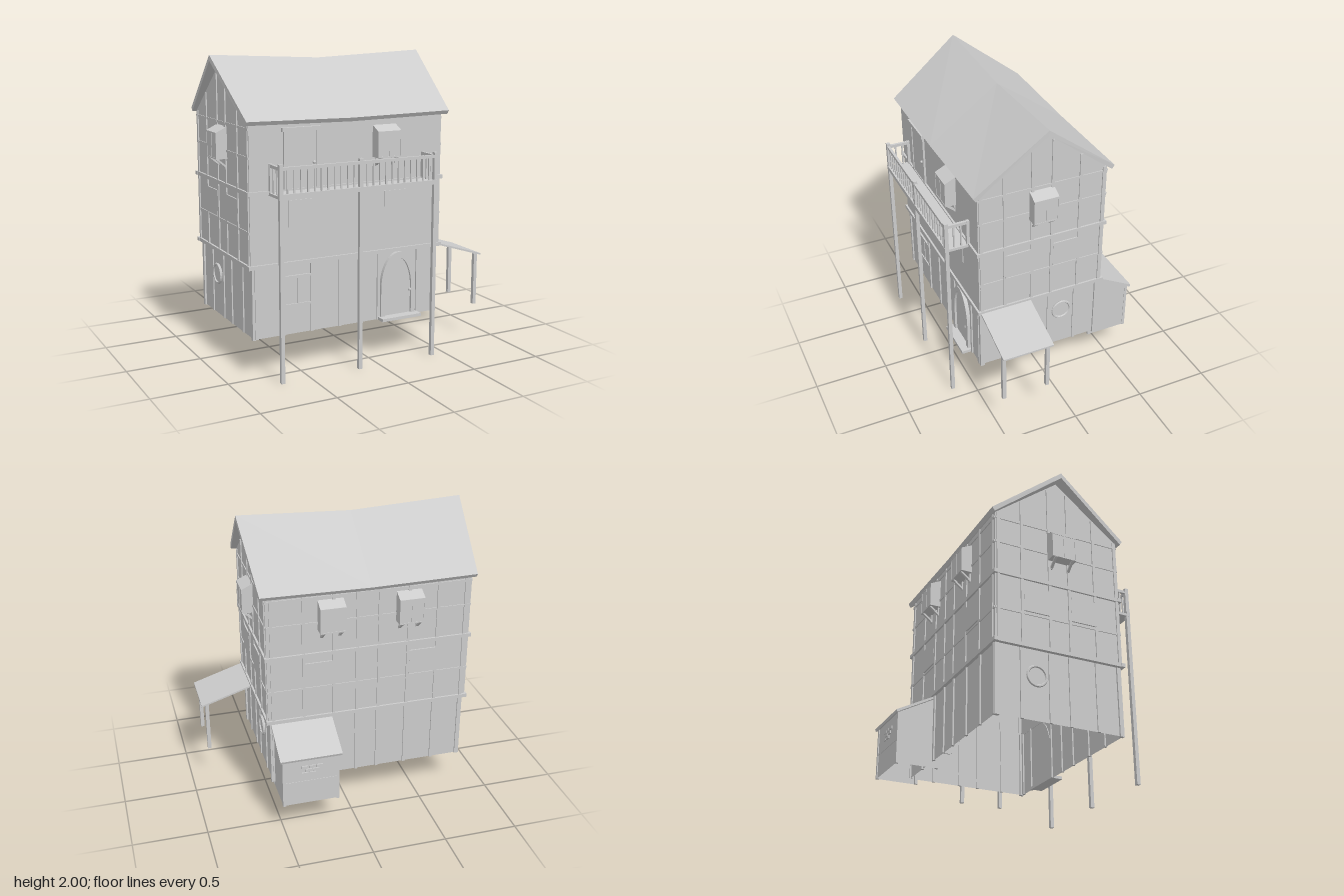
import * as THREE from 'three';

const mat = new THREE.MeshStandardMaterial({ color: 0xcccccc, flatShading: true });
const thin = new THREE.MeshStandardMaterial({ color: 0xcccccc, flatShading: true, side: THREE.DoubleSide });

// Main dimensions
const CX = -0.145, CZ = 0.045;
const UP = { x0: -0.833, x1: 0.543, z0: -0.4, z1: 0.49 };
const LOW = { x0: -0.81, x1: 0.52, z0: -0.39, z1: 0.48 };

export function createModel() {
  const model = new THREE.Group();
  const add = (name, geo, m = mat, parent = model) => {
    const mesh = new THREE.Mesh(geo, m);
    mesh.name = name;
    parent.add(mesh);
    return mesh;
  };
  // Box given by its limits on each axis
  const box = (name, x0, x1, y0, y1, z0, z1, parent = model) => {
    const mesh = add(name, new THREE.BoxGeometry(x1 - x0, y1 - y0, z1 - z0), mat, parent);
    mesh.position.set((x0 + x1) / 2, (y0 + y1) / 2, (z0 + z1) / 2);
    return mesh;
  };
  // Flat wall from an outline of [u, y] points; side walls use u = -z
  const wall = (name, pts, x, z, turn) => {
    const mesh = add(name, new THREE.ShapeGeometry(new THREE.Shape(pts.map(p => new THREE.Vector2(...p)))), thin);
    mesh.position.set(x, 0, z);
    mesh.rotation.y = turn ? Math.PI / 2 : 0;
  };
  // Solid skin joining equal cross-section loops, with capped ends
  const loft = (name, loops, capTris) => {
    const n = loops[0].length, idx = [];
    for (let s = 0; s < loops.length - 1; s++) for (let i = 0; i < n; i++) {
      const a = s * n + i, b = s * n + (i + 1) % n;
      idx.push(a, b, b + n, a, b + n, a + n);
    }
    const end = (loops.length - 1) * n;
    for (const [a, b, c] of capTris) idx.push(a, c, b, end + a, end + b, end + c);
    const g = new THREE.BufferGeometry();
    g.setAttribute('position', new THREE.Float32BufferAttribute(loops.flat(2), 3));
    g.setIndex(idx);
    g.computeVertexNormals();
    return add(name, g, thin);
  };

  // Hollow walls, open underneath
  const rect = (a, b, y0, y1) => [[a, y0], [b, y0], [b, y1], [a, y1]];
  for (const [n, z] of [['frontLowerWall', LOW.z1], ['backLowerWall', LOW.z0]])
    wall(n, rect(LOW.x0, LOW.x1, 0.25, 0.72), 0, z, false);
  for (const [n, z] of [['frontUpperWall', UP.z1], ['backUpperWall', UP.z0]])
    wall(n, rect(UP.x0, UP.x1, 0.71, 1.61), 0, z, false);
  for (const side of ['x0', 'x1']) {
    wall('sideLowerWall', rect(-LOW.z1, -LOW.z0, 0.25, 0.72), LOW[side], 0, true);
    wall('gableWall', [[-UP.z1, 0.71], [-UP.z0, 0.71], [-UP.z0, 1.61], [-CZ, 1.955], [-UP.z1, 1.61]], UP[side], 0, true);
  }

  // Saddle roof: overhanging ridge ends and a sagging middle
  const roofLoop = (ridgeX, eaveX, sag) => [
    [eaveX, 1.625 - sag * 0.3, 0.528], [ridgeX, 2 - sag, 0.05], [eaveX, 1.625 - sag * 0.3, -0.432],
    [eaveX, 1.6 - sag * 0.3, -0.415], [ridgeX, 1.963 - sag, 0.05], [eaveX, 1.6 - sag * 0.3, 0.511]];
  loft('roof', [roofLoop(-0.905, -0.86, 0), roofLoop(CX, CX, 0.035), roofLoop(0.62, 0.58, 0)].map(l => l.slice().reverse()),
    [[0, 1, 4], [0, 4, 5], [1, 2, 3], [1, 3, 4]]);

  // Belt beams around each floor line
  for (const y of [0.705, 1.168]) {
    for (const z of [UP.z0, UP.z1]) box('beltBeam', -0.85, 0.557, y, y + 0.025, z - 0.013, z + 0.013);
    for (const x of [UP.x0, UP.x1]) box('beltBeam', x - 0.013, x + 0.013, y, y + 0.025, UP.z0, UP.z1);
  }

  // Timber frame, side walls
  const T = 0.01;
  const sideZ = [0.31, 0.12, -0.02, -0.215];
  for (const [up, low] of [[UP.x0, LOW.x0], [UP.x1, LOW.x1]]) {
    for (const z of sideZ) {
      box('sideStud', up - 0.008, up + 0.008, 0.72, 1.94 - 0.77 * Math.abs(z - CZ), z - T, z + T);
      box('sideLowerStud', low - 0.008, low + 0.008, 0.25, 0.71, z - T, z + T);
    }
    for (const y of [0.935, 1.4, 1.575]) box('sideRail', up - 0.006, up + 0.006, y - 0.008, y + 0.008, UP.z0, UP.z1);
    for (const [z0, z1] of [[0.13, 0.31], [-0.205, -0.03]])
      box('sideWindow', up - 0.009, up + 0.009, 0.95, 1.12, z0, z1);
    for (const z of [LOW.z0 + T, LOW.z1 - T]) {
      box('cornerPost', low - 0.012, low + 0.012, 0.245, 0.71, z - 0.014, z + 0.014);
      box('cornerStud', up - 0.008, up + 0.008, 0.72, 1.61, z - 0.009, z + 0.011);
    }
    // Round window with a ring frame
    const pane = add('roundWindow', new THREE.CylinderGeometry(0.065, 0.065, 0.02, 24));
    pane.rotation.z = Math.PI / 2;
    pane.position.set(low, 0.535, -0.115);
    const ring = add('roundWindowFrame', new THREE.TorusGeometry(0.064, 0.009, 6, 24));
    ring.rotation.y = Math.PI / 2;
    ring.position.set(low + (low > 0 ? 0.01 : -0.01), 0.535, -0.115);
  }

  // Timber frame, back wall
  for (const x of [-0.8, -0.61, -0.41, -0.21, -0.06, 0.1, 0.3, 0.51]) {
    box('backStud', x - T, x + T, 0.72, 1.605, UP.z0 - 0.008, UP.z0 + 0.008);
    box('backLowerStud', x - T, x + T, 0.25, 0.71, LOW.z0 - 0.01, LOW.z0 + 0.01);
  }
  for (const y of [0.935, 1.4, 1.575]) box('backRail', UP.x0, UP.x1, y - 0.008, y + 0.008, UP.z0 - 0.006, UP.z0 + 0.006);
  for (const x of [-0.51, 0.2]) box('backWindow', x - 0.09, x + 0.09, 0.95, 1.12, UP.z0 - 0.009, UP.z0 + 0.009);

  // Front wall: lower studs, windows and upper door
  for (const x of [-0.795, -0.605, -0.41, -0.21, -0.06, 0.08, 0.38, 0.5])
    box('frontLowerStud', x - T, x + T, 0.25, 0.71, LOW.z1 - 0.01, LOW.z1 + 0.01);
  for (const x of [-0.485, 0.2]) box('frontWindow', x - 0.087, x + 0.087, 0.95, 1.12, UP.z1 - 0.006, UP.z1 + 0.005);
  box('lowerWindow', -0.595, -0.42, 0.44, 0.625, LOW.z1 - 0.01, LOW.z1 + 0.004);
  for (const y of [0.435, 0.62]) box('lowerWindowFrame', -0.61, -0.41, y, y + 0.015, LOW.z1 - 0.01, LOW.z1 + 0.012);
  box('lowerWindowBar', -0.512, -0.502, 0.44, 0.625, LOW.z1, LOW.z1 + 0.009);
  box('upperDoor', -0.585, -0.385, 1.19, 1.555, UP.z1 - 0.01, UP.z1 + 0.008);
  box('upperDoorLintel', -0.618, -0.352, 1.55, 1.575, UP.z1 - 0.01, UP.z1 + 0.025);
  for (const x of [-0.595, -0.375]) box('upperDoorJamb', x - T, x + T, 1.19, 1.55, UP.z1 - 0.01, UP.z1 + 0.014);

  // Arched front door
  const arch = (hw, y0, spring, rise) => {
    const s = new THREE.Shape();
    s.moveTo(-hw, y0).lineTo(hw, y0).lineTo(hw, spring);
    s.absellipse(0, spring, hw, rise, 0, Math.PI, false);
    return s.closePath();
  };
  const archGeo = (s, depth) => new THREE.ExtrudeGeometry(s, { depth, bevelEnabled: false, curveSegments: 14 });
  const surround = arch(0.132, 0.26, 0.46, 0.24);
  surround.holes.push(arch(0.1, 0.265, 0.45, 0.21));
  add('doorSurround', archGeo(surround, 0.03)).position.set(0.223, 0, LOW.z1 - 0.005);
  add('frontDoor', archGeo(arch(0.104, 0.262, 0.45, 0.212), 0.015)).position.set(0.223, 0, LOW.z1 - 0.005);
  box('doorStep', 0.075, 0.372, 0.25, 0.27, LOW.z1 - 0.01, 0.555);
  for (const [x, y, z] of [[0.315, 0.43, LOW.z1 + 0.02], [-0.4, 1.35, UP.z1 + 0.015]])
    add('doorKnob', new THREE.SphereGeometry(0.011, 8, 6)).position.set(x, y, z);

  // Projecting bay windows on brackets, facing +z before turning
  const bay = (x, z, turn) => {
    const g = new THREE.Group();
    g.name = 'bayWindow';
    const s = new THREE.Shape([[-0.01, 0], [0.072, 0], [0.072, 0.17], [-0.01, 0.21]].map(p => new THREE.Vector2(...p)));
    const geo = new THREE.ExtrudeGeometry(s, { depth: 0.17, bevelEnabled: false });
    add('bayBody', geo.rotateY(-Math.PI / 2).translate(0.085, 0, 0), mat, g);
    for (const bx of [-0.081, 0, 0.081]) box('bayMullion', bx - 0.004, bx + 0.004, 0, 0.17, 0.07, 0.075, g);
    for (const by of [0, 0.162]) box('bayFrame', -0.085, 0.085, by, by + 0.008, 0.07, 0.075, g);
    for (const bx of [-0.06, 0.06]) {
      const b = box('bayBracket', bx - 0.008, bx + 0.008, -0.033, -0.021, -0.012, 0.078, g);
      b.rotation.x = -0.7;
      box('bayBracketFoot', bx - 0.008, bx + 0.008, -0.06, 0, -0.005, 0.008, g);
    }
    g.position.set(x, 1.35, z);
    g.rotation.y = turn;
    model.add(g);
  };
  bay(0.11, UP.z1, 0);
  bay(-0.405, UP.z0, Math.PI);
  bay(0.12, UP.z0, Math.PI);
  bay(UP.x1, 0.055, Math.PI / 2);
  bay(UP.x0, 0.055, -Math.PI / 2);

  // Balcony on tall posts
  box('balconyFloor', -0.71, 0.415, 1.165, 1.183, 0.48, 0.66);
  for (const x of [-0.695, -0.147, 0.402]) box('balconyPost', x - 0.0125, x + 0.0125, 0, 1.375, 0.633, 0.658);
  box('balconyRail', -0.695, 0.402, 1.338, 1.358, 0.637, 0.655);
  box('balconyEdge', -0.71, 0.415, 1.178, 1.195, 0.635, 0.66);
  for (let i = 1; i < 24; i++) {
    const x = -0.695 + i * 1.097 / 24;
    if (i !== 12) box('baluster', x - 0.005, x + 0.005, 1.19, 1.34, 0.641, 0.651);
  }
  for (const x of [-0.695, 0.402]) {
    box('balconySideRail', x - 0.009, x + 0.009, 1.338, 1.358, 0.49, 0.645);
    box('balconyWallPost', x - 0.01, x + 0.01, 1.18, 1.36, 0.49, 0.51);
    for (const z of [0.545, 0.593]) box('sideBaluster', x - 0.005, x + 0.005, 1.18, 1.34, z - 0.005, z + 0.005);
  }

  // Side canopy on two posts
  const slab = (x0, y0, x1, y1, z) => [[x0, y0, z], [x1, y1, z], [x1, y1 - 0.012, z], [x0, y0 - 0.012, z]];
  loft('canopy', [slab(0.535, 0.722, 0.905, 0.605, 0.482), slab(0.535, 0.722, 0.905, 0.605, 0.128)], [[0, 1, 2], [0, 2, 3]]);
  for (const z of [0.465, 0.155]) box('canopyPost', 0.853, 0.878, 0.243, 0.605, z - 0.0125, z + 0.0125);

  // Lean-to shed at the back, open underneath
  for (const x of [0.13, 0.508])
    wall('shedSideWall', [[0.345, 0.21], [0.635, 0.21], [0.635, 0.56], [0.39, 0.695], [0.345, 0.705]], x, 0, true);
  wall('shedBackWall', rect(0.13, 0.508, 0.21, 0.56), 0, -0.635, false);
  const shedLoop = x => [[x, 0.72, -0.37], [x, 0.567, -0.658], [x, 0.55, -0.652], [x, 0.703, -0.37]];
  loft('shedRoof', [shedLoop(0.11), shedLoop(0.526)], [[0, 1, 2], [0, 2, 3]]);
  for (const x of [0.137, 0.501]) {
    box('shedPost', x - T, x + T, 0.207, 0.56, -0.641, -0.622);
    box('shedWallPost', x - T, x + T, 0.21, 0.7, -0.365, -0.345);
  }
  box('shedRail', 0.13, 0.508, 0.37, 0.384, -0.638, -0.63);
  // Patch of bare bricks
  for (const [x, y] of [[0.26, 0.49], [0.31, 0.49], [0.36, 0.49], [0.285, 0.465], [0.335, 0.465], [0.31, 0.44], [0.36, 0.44]])
    box('brick', x - 0.021, x + 0.021, y - 0.01, y + 0.01, -0.643, -0.63);

  return model;
}
